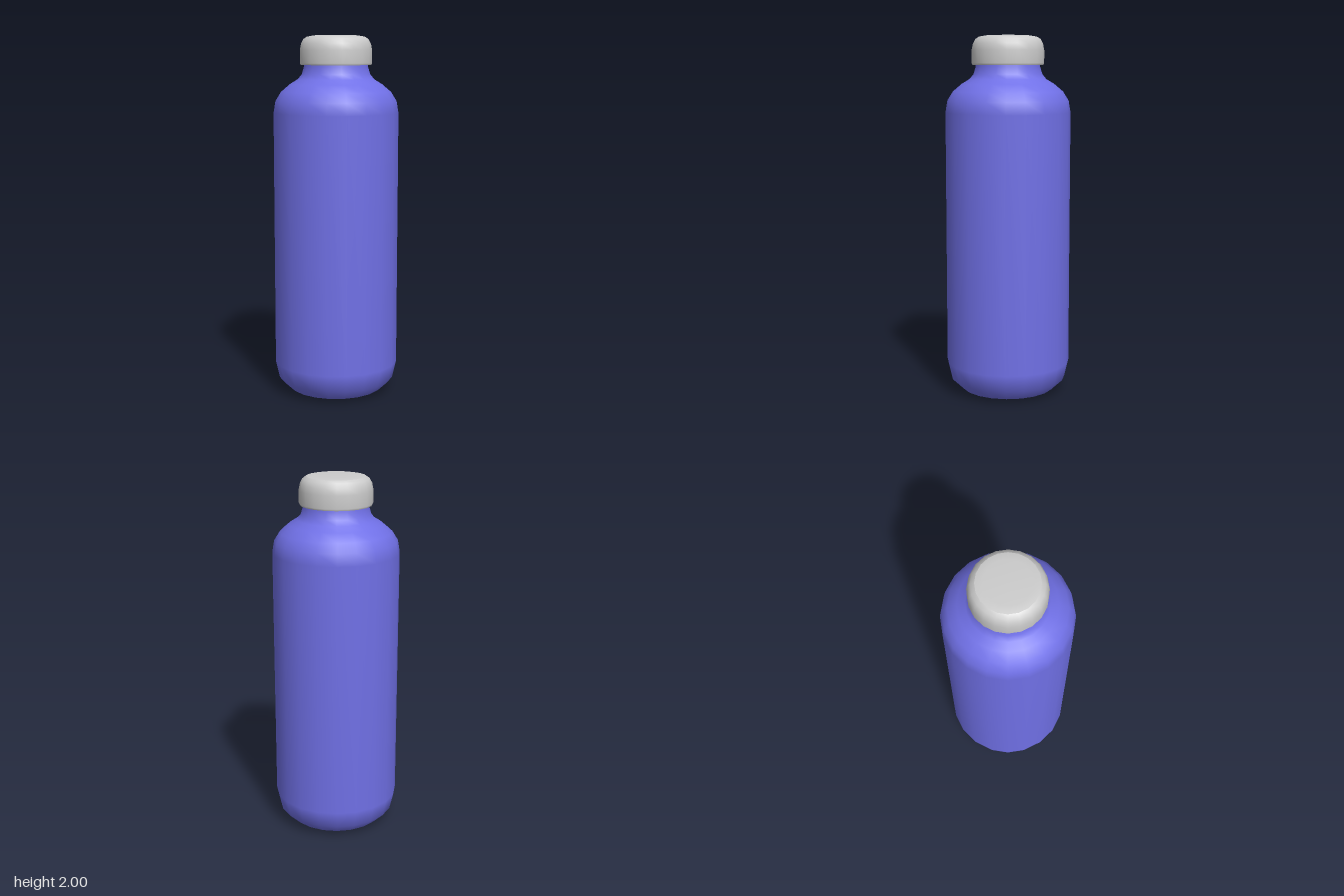
import * as THREE from 'three';

const SIDES = 20;

// Revolves a list of [radius, height] points, running from bottom to top
function turned(name, profile, material) {
  const points = profile.map(([r, y]) => new THREE.Vector2(r, y));
  const mesh = new THREE.Mesh(new THREE.LatheGeometry(points, SIDES), material);
  mesh.name = name;
  return mesh;
}

export function createModel() {
  const blue = new THREE.MeshStandardMaterial({ color: 0x7070e6 });
  const grey = new THREE.MeshStandardMaterial({ color: 0xcccccc });

  // Bottle: base, rounded foot, straight wall, shoulder and neck
  const bottle = new THREE.Group();
  bottle.name = 'bottle';
  bottle.add(
    turned('base', [[0, 0], [0.17, 0.004], [0.262, 0.015]], blue),
    turned('body', [
      [0.262, 0.015], [0.325, 0.075], [0.347, 0.17], [0.347, 1.58],
      [0.336, 1.645], [0.305, 1.695], [0.255, 1.737], [0.212, 1.763],
      [0.19, 1.79], [0.178, 1.83], [0.174, 1.87],
    ], blue),
  );

  // Cap: recessed underside, thin rim, rounded wall and flat top
  const cap = new THREE.Group();
  cap.name = 'cap';
  cap.add(
    turned('capUnderside', [[0.16, 1.862], [0.186, 1.862]], grey),
    turned('capInnerWall', [[0.186, 1.862], [0.186, 1.84]], grey),
    turned('capRim', [[0.186, 1.84], [0.195, 1.84]], grey),
    turned('capWall', [
      [0.195, 1.84], [0.2, 1.85], [0.2, 1.92], [0.193, 1.955],
      [0.18, 1.98], [0.16, 1.993],
    ], grey),
    turned('capTop', [[0.16, 1.993], [0.12, 2], [0, 2]], grey),
  );

  const model = new THREE.Group();
  model.name = 'flask';
  model.add(bottle, cap);
  return model;
}
